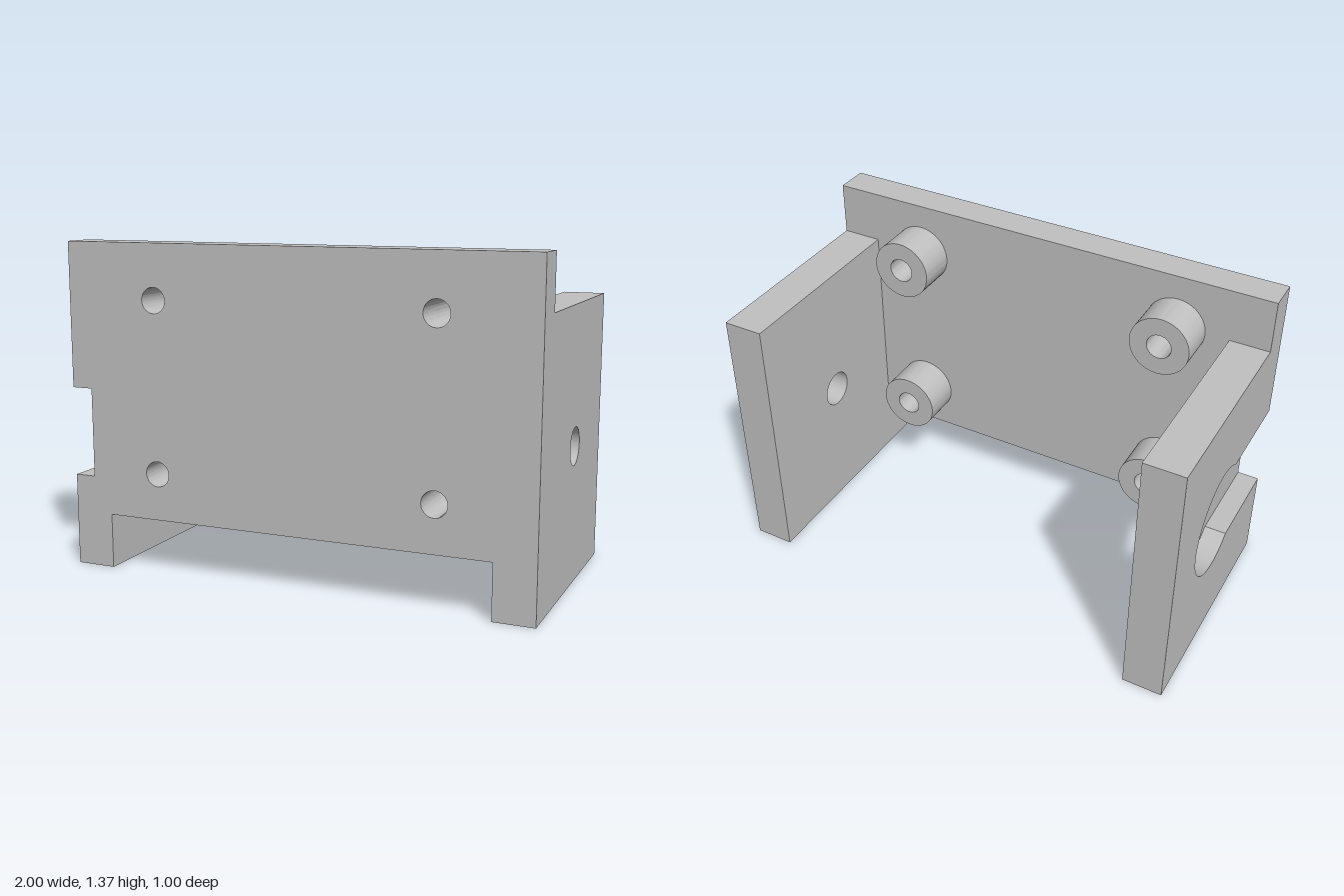
import * as THREE from 'three';
import { toCreasedNormals } from 'three/addons/utils/BufferGeometryUtils.js';

const HOLE_Y = 0.575, HOLE_U = 0.04; // side hole centre (u = -z)

function circleHole(x, y, r) {
  const path = new THREE.Path();
  path.absarc(x, y, r, 0, Math.PI * 2, true);
  return path;
}

function extrude(shape, depth) {
  const geo = new THREE.ExtrudeGeometry(shape, { depth, bevelEnabled: false, curveSegments: 48 });
  return toCreasedNormals(geo, 0.5);
}

// L-shaped side outline; optionally with a keyhole slot open to the front
function sideShape(slotted) {
  const s = new THREE.Shape();
  s.moveTo(-0.5, 0);
  s.lineTo(0.5, 0);
  s.lineTo(0.5, 1.145);
  s.lineTo(-0.36, 1.145);
  s.lineTo(-0.36, 1.37);
  s.lineTo(-0.5, 1.37);
  if (slotted) {
    const half = 0.187, r = 0.235, a = Math.asin(half / r);
    s.lineTo(-0.5, HOLE_Y + half);
    s.absarc(HOLE_U, HOLE_Y, r, Math.PI - a, Math.PI + a, true);
    s.lineTo(-0.5, HOLE_Y - half);
  }
  s.closePath();
  return s;
}

export function createModel() {
  const model = new THREE.Group();
  model.name = 'mountingBracket';
  const grey = new THREE.MeshStandardMaterial({ color: 0xc0c0c0 });
  grey.name = 'light grey';

  const add = (name, geo, x, y, z) => {
    const mesh = new THREE.Mesh(geo, grey);
    mesh.name = name;
    mesh.position.set(x, y, z);
    model.add(mesh);
  };
  const addSide = (name, shape, x, depth) =>
    add(name, extrude(shape, depth).rotateY(Math.PI / 2), x, 0, 0);

  // Front plate with four screw holes
  const front = new THREE.Shape([
    [-0.83, 0.23], [0.83, 0.23], [0.83, 1.37], [-0.83, 1.37],
  ].map(([x, y]) => new THREE.Vector2(x, y)));
  const screws = [-0.6, 0.6].flatMap((x) => [0.425, 1.14].map((y) => [x, y]));
  for (const [x, y] of screws) front.holes.push(circleHole(x, y, 0.053));
  add('frontPlate', extrude(front, 0.14), 0, 0, 0.36);

  // Standoffs behind the screw holes
  const ring = new THREE.Shape();
  ring.absarc(0, 0, 0.128, 0, Math.PI * 2);
  ring.holes.push(circleHole(0, 0, 0.053));
  const ringGeo = extrude(ring, 0.17);
  for (const [x, y] of screws) add('standoff', ringGeo, x, y, 0.19);

  // Left side plate with a small through hole
  const left = sideShape(false);
  left.holes.push(circleHole(HOLE_U, HOLE_Y, 0.078));
  addSide('leftSidePlate', left, 0.83, 0.17);

  // Right side plate: inner layer with a wide hole, outer layer with the slot
  const right = sideShape(false);
  right.holes.push(circleHole(HOLE_U, HOLE_Y, 0.155));
  addSide('rightSideInner', right, -0.91, 0.08);
  addSide('rightSideSlottedOuter', sideShape(true), -1, 0.09);

  return model;
}
